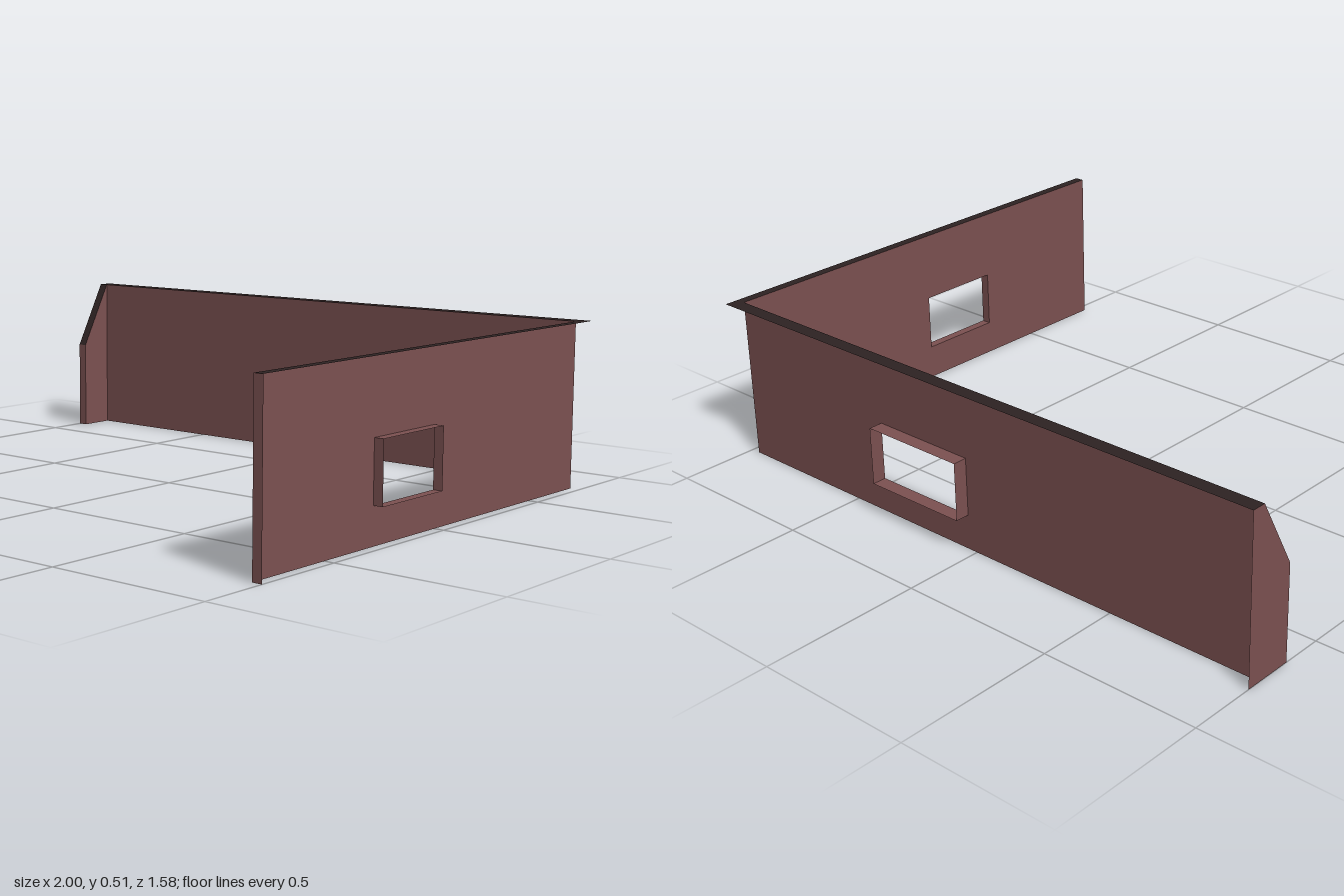
import * as THREE from 'three';

const wallMat = new THREE.MeshStandardMaterial({ name: 'brown wall', color: 0x7c5151, side: THREE.DoubleSide });
const capMat = new THREE.MeshStandardMaterial({ name: 'dark coping', color: 0x2d2222, side: THREE.DoubleSide });

const H = 0.51;                       // wall height
const OUT = 1, IN = 0.97;             // side wall planes in x
const BACK = -0.79, BACK_IN = -0.745; // back wall planes in z
const FRONT = 0.79;                   // free end of the side wall
const STUB = -0.63, STUB_H = 0.295;   // free end of the short return wall
const SILL = 0.11, HEAD = 0.29;       // window heights

export function createModel() {
  const group = new THREE.Group();

  function add(name, geometry, material) {
    const mesh = new THREE.Mesh(geometry, material);
    mesh.name = name;
    group.add(mesh);
    return mesh;
  }

  // Flat convex panel from its corners, listed counter-clockwise
  function panel(name, material, corners) {
    const g = new THREE.BufferGeometry();
    g.setAttribute('position', new THREE.Float32BufferAttribute(corners.flat(), 3));
    const index = [];
    for (let i = 1; i < corners.length - 1; i++) index.push(0, i, i + 1);
    g.setIndex(index);
    g.computeVertexNormals();
    return add(name, g, material);
  }

  // Wall sheet from u0 to u1 with a window opening from w0 to w1
  function sheet(u0, u1, w0, w1) {
    const s = new THREE.Shape([[u0, 0], [u1, 0], [u1, H], [u0, H]].map(p => new THREE.Vector2(...p)));
    s.holes.push(new THREE.Path([[w0, SILL], [w0, HEAD], [w1, HEAD], [w1, SILL]].map(p => new THREE.Vector2(...p))));
    return new THREE.ShapeGeometry(s);
  }

  // Four reveals around a window; at(u, y, side) gives a point on the inner (0) or outer (1) plane
  function reveals(name, w0, w1, at) {
    const c = [[w0, SILL], [w1, SILL], [w1, HEAD], [w0, HEAD]];
    c.forEach((a, i) => {
      const b = c[(i + 1) % 4];
      panel(name, wallMat, [at(...a, 0), at(...b, 0), at(...b, 1), at(...a, 1)]);
    });
  }

  // Back wall
  add('backWall', sheet(-IN, IN, 0.03, 0.375), wallMat).position.z = BACK_IN;
  reveals('backWindowReveal', 0.03, 0.375, (u, y, s) => [u, y, s ? BACK : BACK_IN]);

  // Side wall, u running along -z
  const side = add('sideWall', sheet(-FRONT, -BACK_IN, -0.29, -0.01), wallMat);
  side.rotation.y = Math.PI / 2;
  side.position.x = IN;
  reveals('sideWindowReveal', -0.29, -0.01, (u, y, s) => [s ? OUT : IN, y, -u]);
  panel('sideWallEnd', wallMat, [[IN, 0, FRONT], [OUT, 0, FRONT], [OUT, H, FRONT], [IN, H, FRONT]]);

  // Short return wall with a sloping top
  panel('returnWallOuter', wallMat,
    [[-OUT, 0, BACK], [-OUT, 0, STUB], [-OUT, STUB_H, STUB], [-OUT, H, BACK_IN], [-OUT, H, BACK]]);
  panel('returnWallInner', wallMat,
    [[-IN, 0, STUB], [-IN, 0, BACK_IN], [-IN, H, BACK_IN], [-IN, STUB_H, STUB]]);
  panel('returnWallEnd', wallMat,
    [[-OUT, 0, STUB], [-IN, 0, STUB], [-IN, STUB_H, STUB], [-OUT, STUB_H, STUB]]);
  panel('returnWallSlope', capMat,
    [[-OUT, STUB_H, STUB], [-IN, STUB_H, STUB], [-IN, H, BACK_IN], [-OUT, H, BACK_IN]]);

  // Wall tops
  panel('backWallTop', capMat, [[-OUT, H, BACK_IN], [OUT, H, BACK_IN], [OUT, H, BACK], [-OUT, H, BACK]]);
  panel('sideWallTop', capMat, [[IN, H, FRONT], [OUT, H, FRONT], [OUT, H, BACK_IN], [IN, H, BACK_IN]]);

  return group;
}
